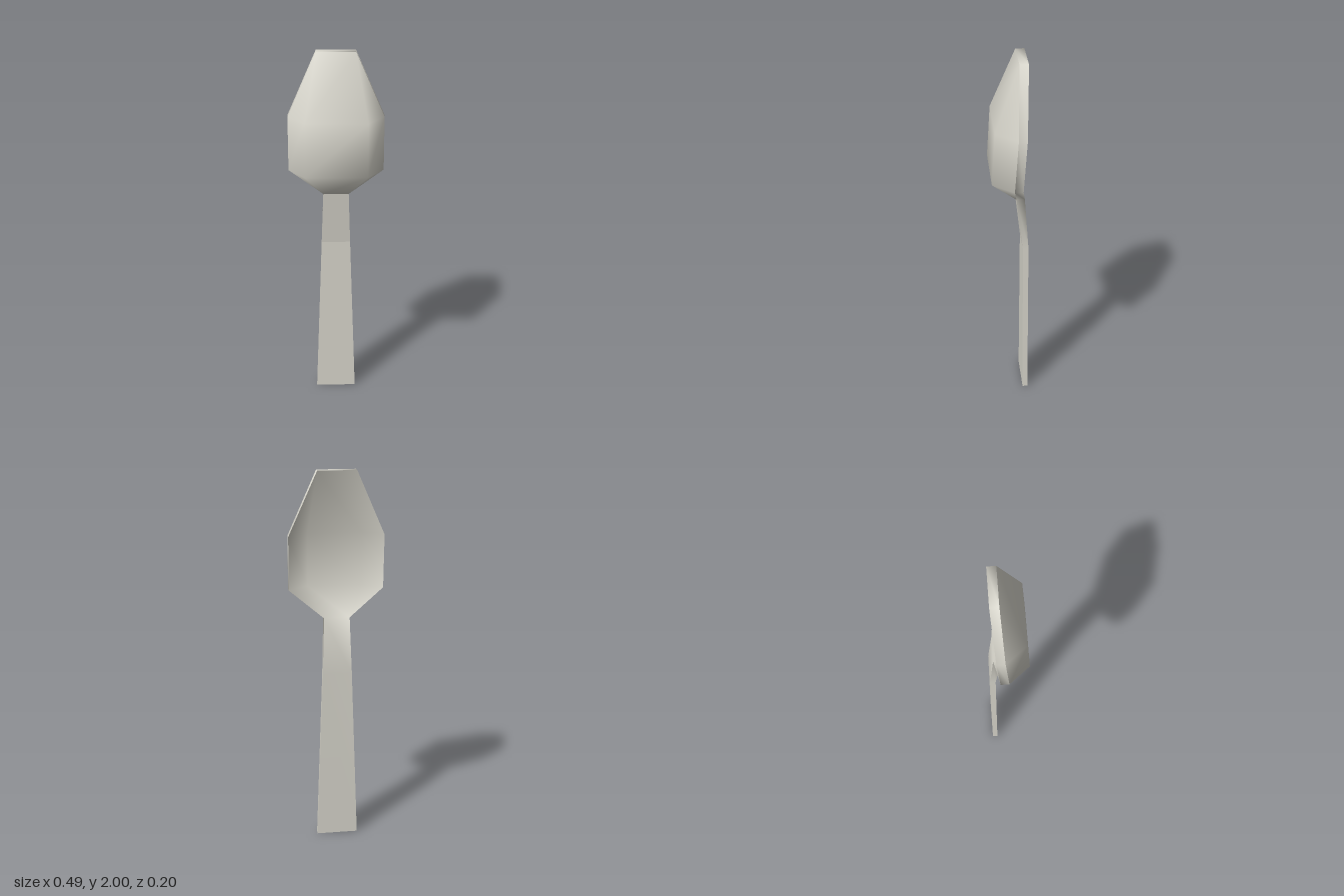
import * as THREE from 'three';
import { mergeVertices } from 'three/addons/utils/BufferGeometryUtils.js';

// Cross-sections from the handle end to the bowl tip: y, half width of the rim,
// half widths of the floor, then z of rim and floor, each on the front and the back
const SECTIONS = [
  { y: 0, rim: 0.11, front: [0.11, -0.07, -0.07], back: [0.11, -0.098, -0.098] },
  { y: 0.94, rim: 0.077, front: [0.077, -0.068, -0.068], back: [0.077, -0.098, -0.098] },
  { y: 1.24, rim: 0.067, front: [0.067, -0.034, -0.034], back: [0.067, -0.077, -0.077] },
  { y: 1.388, rim: 0.246, front: [0.16, -0.007, 0.1], back: [0.14, -0.05, 0.03] },
  { y: 1.67, rim: 0.246, front: [0.16, -0.025, 0.083], back: [0.14, -0.068, 0.012] },
  { y: 2, rim: 0.1, front: [0.1, -0.041, -0.041], back: [0.1, -0.086, -0.086] },
];

// Four points across one section, from right (-x) to left (+x)
function row(s, side) {
  const [floor, zr, zf] = s[side];
  return [[-s.rim, s.y, zr], [-floor, s.y, zf], [floor, s.y, zf], [s.rim, s.y, zr]];
}

// Joins neighbouring rows of points with quads
function loft(rows, { flip = false, smooth = false } = {}) {
  const pos = [];
  for (let i = 0; i < rows.length - 1; i++) {
    for (let j = 0; j < rows[i].length - 1; j++) {
      const a = rows[i][j], b = rows[i][j + 1], c = rows[i + 1][j + 1], d = rows[i + 1][j];
      const tris = flip ? [a, c, b, a, d, c] : [a, b, c, a, c, d];
      tris.forEach((p) => pos.push(...p));
    }
  }
  let geo = new THREE.BufferGeometry();
  geo.setAttribute('position', new THREE.Float32BufferAttribute(pos, 3));
  if (smooth) geo = mergeVertices(geo);
  geo.computeVertexNormals();
  return geo;
}

export function createModel() {
  const group = new THREE.Group();
  group.name = 'spoon';
  const metal = new THREE.MeshStandardMaterial({ color: 0xdad8ce });
  metal.name = 'warm silver';

  const add = (name, geo) => {
    const mesh = new THREE.Mesh(geo, metal);
    mesh.name = name;
    group.add(mesh);
  };

  const front = SECTIONS.map((s) => row(s, 'front'));
  const back = SECTIONS.map((s) => row(s, 'back'));

  // Faceted handle front, rounded outside of the bowl, continuous hollow side
  add('handleFront', loft(front.slice(0, 3)));
  add('bowlOutside', loft(front.slice(2), { smooth: true }));
  add('hollowSide', loft(back, { flip: true, smooth: true }));

  // One rounded edge band: up the right side, over the tip, down the left side
  const edge = (j) => front.map((r, i) => [r[j], back[i][j]]);
  add('edgeBand', loft([...edge(0), ...edge(3).reverse()], { flip: true, smooth: true }));

  // Cap at the handle end
  add('handleEnd', loft([back[0], front[0]]));
  return group;
}
